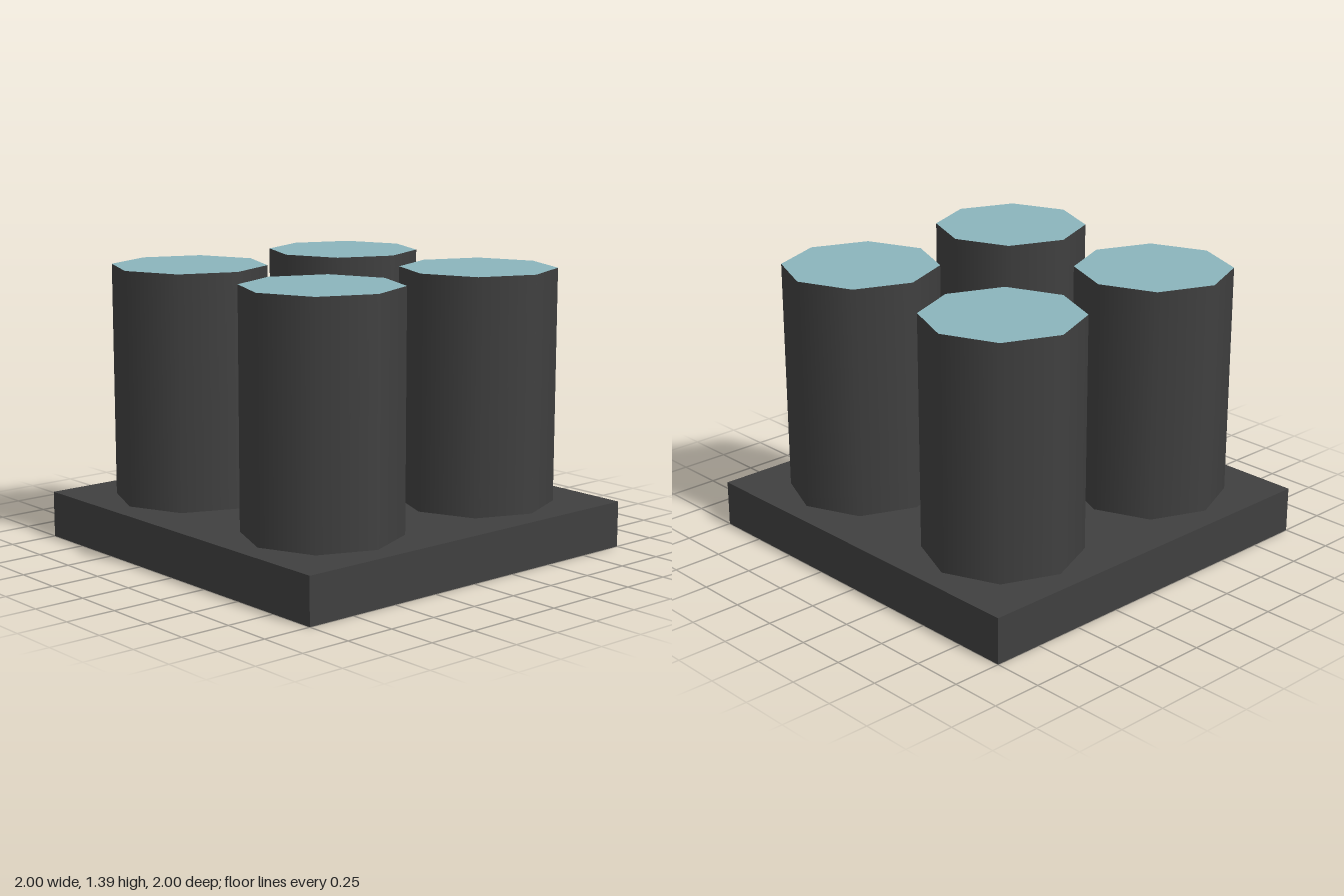
import * as THREE from 'three';

const BASE_HEIGHT = 0.23;
const TOP = 1.39;
const RADIUS = 0.385;

export function createModel() {
  const model = new THREE.Group();
  const charcoal = new THREE.MeshStandardMaterial({ color: 0x404040, side: THREE.DoubleSide });
  charcoal.name = 'charcoal';
  const paleTeal = new THREE.MeshStandardMaterial({ color: 0x8bb4bc, side: THREE.DoubleSide });
  paleTeal.name = 'paleTeal';

  // Base: a thin-walled tray, open underneath (the box's bottom face is dropped)
  const baseGeometry = new THREE.BoxGeometry(2, BASE_HEIGHT, 2);
  const faces = Array.from(baseGeometry.index.array);
  faces.splice(18, 6);
  baseGeometry.setIndex(faces);
  baseGeometry.clearGroups();
  const base = new THREE.Mesh(baseGeometry, charcoal);
  base.name = 'base';
  base.position.y = BASE_HEIGHT / 2;
  model.add(base);

  // Four eight-sided columns with smooth walls and coloured tops
  const height = TOP - BASE_HEIGHT;
  const wallGeometry = new THREE.CylinderGeometry(RADIUS, RADIUS, height, 8, 1, true);
  const capGeometry = new THREE.CircleGeometry(RADIUS, 8).rotateX(-Math.PI / 2);
  for (const x of [-0.5, 0.5]) {
    for (const z of [-0.5, 0.5]) {
      const column = new THREE.Group();
      column.name = `${z > 0 ? 'front' : 'back'}${x > 0 ? 'Left' : 'Right'}Column`;
      column.position.set(x, BASE_HEIGHT, z);

      const wall = new THREE.Mesh(wallGeometry, charcoal);
      wall.name = 'columnWall';
      wall.position.y = height / 2;

      const cap = new THREE.Mesh(capGeometry, paleTeal);
      cap.name = 'columnTop';
      cap.position.y = height;

      column.add(wall, cap);
      model.add(column);
    }
  }
  return model;
}
